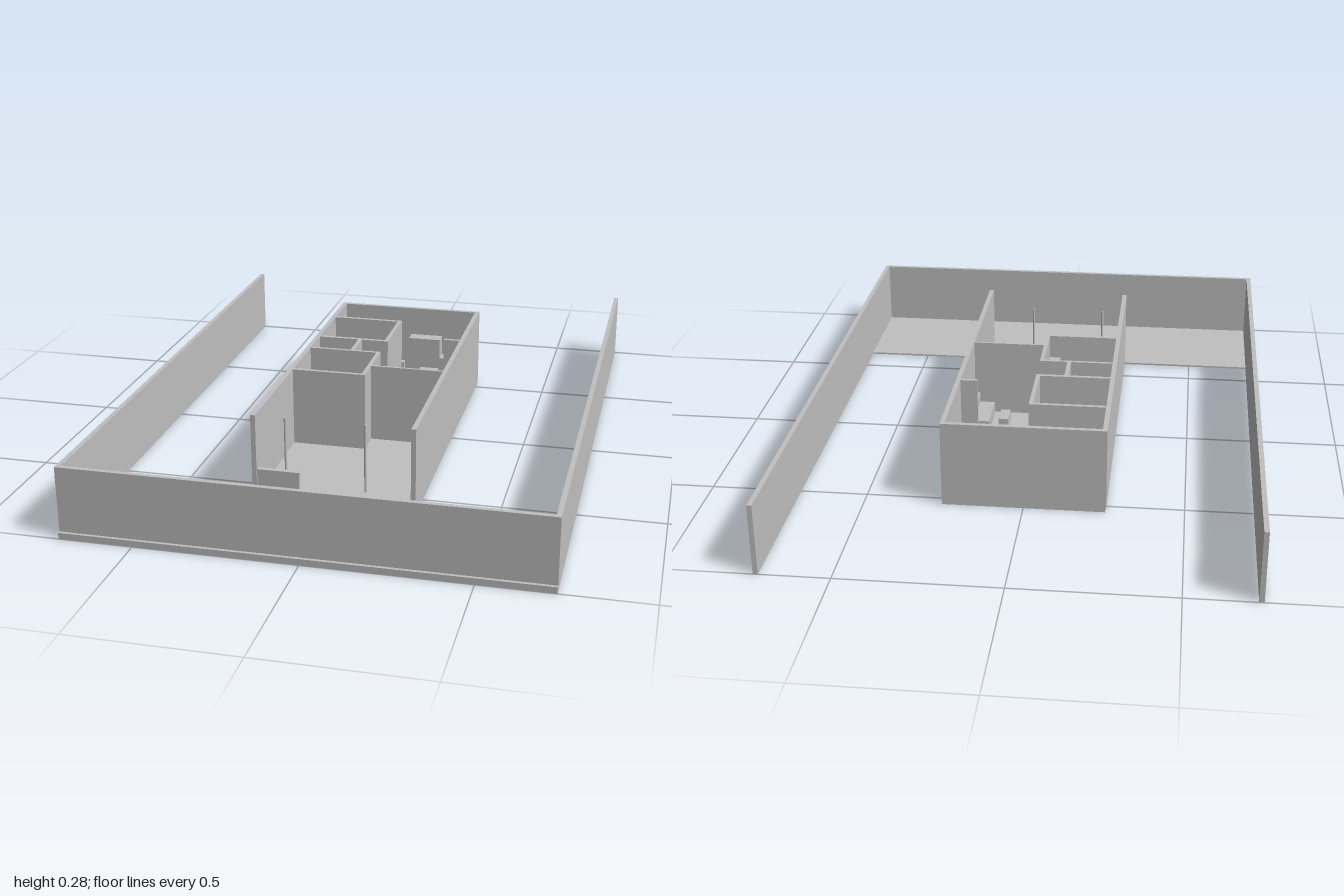
import * as THREE from 'three';

export function createModel() {
  const model = new THREE.Group();
  const grey = new THREE.MeshStandardMaterial({ color: 0xc0c0c0 });
  grey.name = 'plain grey';

  // Box given by its extents on each axis
  function box(parent, name, x0, x1, y0, y1, z0, z1) {
    const mesh = new THREE.Mesh(new THREE.BoxGeometry(x1 - x0, y1 - y0, z1 - z0), grey);
    mesh.position.set((x0 + x1) / 2, (y0 + y1) / 2, (z0 + z1) / 2);
    mesh.name = name;
    parent.add(mesh);
    return mesh;
  }
  function group(name) {
    const g = new THREE.Group();
    g.name = name;
    model.add(g);
    return g;
  }

  // Plot: front yard paving and boundary walls
  const plot = group('plot');
  box(plot, 'yardPaving', -0.725, 0.725, 0, 0.006, 0.61, 0.99);
  box(plot, 'rightBoundaryWall', -0.728, -0.713, 0, 0.225, -1, 0.99);
  box(plot, 'leftBoundaryWall', 0.713, 0.728, 0, 0.225, -1, 0.99);
  box(plot, 'frontBoundaryWall', -0.728, 0.728, 0, 0.225, 0.975, 0.99);
  box(plot, 'frontKerb', -0.728, 0.728, 0, 0.02, 0.99, 1);

  // House shell, open at the front
  const H = 0.28, F = 0.02;
  const shell = group('houseShell');
  box(shell, 'houseFloor', -0.255, 0.255, 0, F, -0.538, 0.61);
  box(shell, 'rightOuterWall', -0.258, -0.243, 0.01, H, -0.54, 0.612);
  box(shell, 'leftOuterWall', 0.24, 0.255, 0.01, H, -0.54, 0.612);
  box(shell, 'backOuterWall', -0.258, 0.255, 0.01, H, -0.54, -0.525);
  box(shell, 'lowPorchWall', -0.243, -0.11, F, 0.1, 0.59, 0.607);

  // Interior partitions: x0, x1, z0, z1
  const rooms = group('partitions');
  [
    ['bedroomFrontWall', -0.243, 0, 0.187, 0.2],
    ['bedroomSideWall', -0.013, 0, -0.03, 0.187],
    ['bathFrontWall', -0.243, 0, -0.031, -0.02],
    ['bathSideWall', -0.105, -0.092, -0.14, -0.031],
    ['bathBackWall', -0.243, 0, -0.153, -0.14],
    ['backBedroomSideWall', -0.013, 0, -0.36, -0.153],
    ['backBedroomWall', -0.243, 0, -0.373, -0.36],
    ['livingFrontWall', 0, 0.24, 0.102, 0.111],
    ['kitchenStubWall', 0.185, 0.24, -0.214, -0.202],
  ].forEach(([n, x0, x1, z0, z1]) => box(rooms, n, x0, x1, F, H, z0, z1));

  // Furniture: x0, x1, z0, z1, top height
  const furniture = group('furniture');
  [
    ['frontBed', -0.205, -0.105, 0.035, 0.187, 0.07],
    ['frontWardrobe', -0.05, -0.013, 0.055, 0.187, 0.2],
    ['backBed', -0.243, -0.17, -0.358, -0.2, 0.07],
    ['backWardrobe', -0.06, -0.013, -0.345, -0.245, 0.2],
    ['washBasin', -0.16, -0.105, -0.06, -0.031, 0.1],
    ['toilet', -0.243, -0.19, -0.14, -0.1, 0.07],
    ['showerScreen', -0.243, -0.18, -0.098, -0.09, 0.2],
    ['utilityCounter', -0.243, -0.18, -0.525, -0.373, 0.1],
    ['bench', -0.105, -0.005, -0.455, -0.435, 0.1],
    ['fridge', 0.005, 0.12, -0.525, -0.478, 0.18],
    ['backCounter', 0.12, 0.24, -0.525, -0.478, 0.11],
    ['sideCounter', 0.185, 0.24, -0.478, -0.214, 0.11],
    ['sofa', 0.17, 0.24, -0.07, 0.085, 0.065],
    ['sofaBack', 0.22, 0.24, -0.07, 0.085, 0.1],
    ['coffeeTable', 0.11, 0.143, 0.03 - 0.055, 0.05, 0.055],
    ['mediaUnit', 0, 0.028, -0.03, 0.1, 0.07],
  ].forEach(([n, x0, x1, z0, z1, y]) => box(furniture, n, x0, x1, F, y, z0, z1));

  // Dining table: top and four legs
  box(furniture, 'diningTop', 0.063, 0.13, 0.088, 0.097, -0.405, -0.31);
  for (const x of [0.065, 0.12]) for (const z of [-0.403, -0.32])
    box(furniture, 'diningLeg', x, x + 0.008, F, 0.088, z, z + 0.008);

  // Slim porch posts
  const porch = group('porch');
  for (const x of [-0.174, 0.08]) {
    const post = new THREE.Mesh(new THREE.CylinderGeometry(0.004, 0.004, 0.225, 12), grey);
    post.position.set(x, F + 0.1125, 0.527);
    post.name = 'porchPost';
    porch.add(post);
  }
  return model;
}
